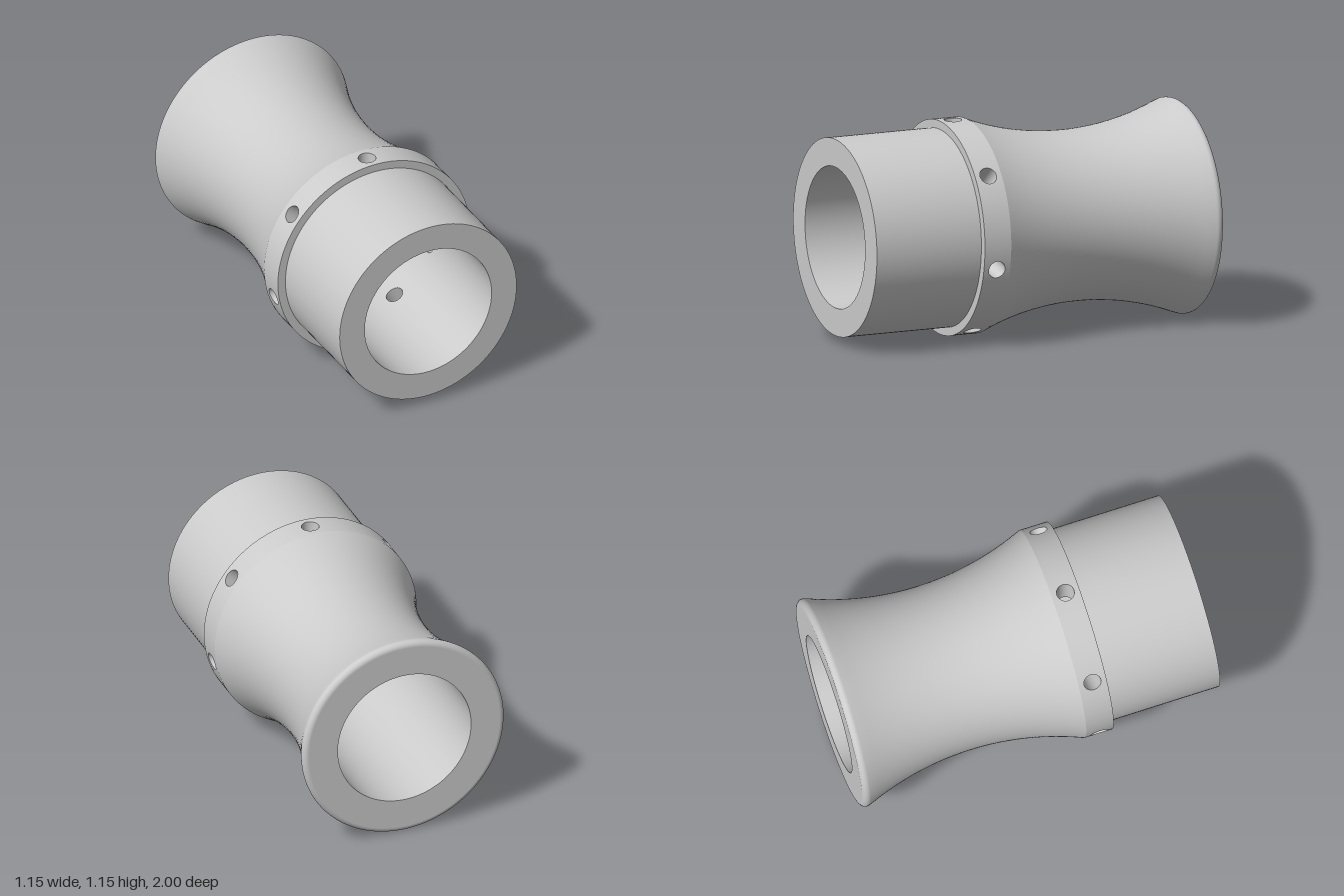
import * as THREE from 'three';

const AXIS_Y = 0.575;              // height of the tube axis
const BORE = 0.38, TUBE = 0.53, COLLAR = 0.575;
const Z_BACK = -1, Z_NECK = 0.24, Z_STEP = 0.393, Z_FRONT = 1;
const HOLES = 7, HOLE_R = 0.047;
const SEG = HOLES * 16;            // lathe steps line up with the drilled panels
const mat = new THREE.MeshStandardMaterial({ color: 0xcccccc });

function add(parent, name, geometry) {
  const mesh = new THREE.Mesh(geometry, mat);
  mesh.name = name;
  parent.add(mesh);
  return mesh;
}

// Revolve [radius, z] points about the z axis
function turned(points) {
  const g = new THREE.LatheGeometry(points.map(([r, z]) => new THREE.Vector2(r, z)), SEG);
  return g.rotateX(Math.PI / 2);
}

// Grid surface: fn(u, v) returns [position, normal]
function surface(nu, nv, fn) {
  const pos = [], nor = [], idx = [];
  for (let i = 0; i <= nu; i++) {
    for (let j = 0; j <= nv; j++) {
      const [p, n] = fn(i / nu, j / nv);
      pos.push(...p);
      nor.push(...n);
      if (i < nu && j < nv) {
        const a = i * (nv + 1) + j, b = a + nv + 1;
        idx.push(a, a + 1, b, b, a + 1, b + 1);
      }
    }
  }
  const g = new THREE.BufferGeometry();
  g.setAttribute('position', new THREE.Float32BufferAttribute(pos, 3));
  g.setAttribute('normal', new THREE.Float32BufferAttribute(nor, 3));
  g.setIndex(idx);
  return g;
}

// Point on a unit square, evenly spaced along each side
function square(t) {
  const c = Math.cos(t), s = Math.sin(t), k = 4 / Math.PI;
  return Math.abs(c) > Math.abs(s) + 1e-9
    ? [Math.sign(c), k * Math.atan(s / Math.abs(c))]
    : [k * Math.atan(c / Math.abs(s)), Math.sign(s)];
}

// Curved panel of radius R with a round hole; side is 1 facing out, -1 facing in
function drilledPanel(R, side) {
  const zMid = (Z_NECK + Z_STEP) / 2, halfZ = (Z_STEP - Z_NECK) / 2;
  return surface(8, 64, (u, v) => {
    const t = side * v * Math.PI * 2;
    const [sx, sz] = square(t);
    const a = THREE.MathUtils.lerp(Math.asin(HOLE_R * Math.cos(t) / R), sx * Math.PI / HOLES, u);
    const z = zMid + THREE.MathUtils.lerp(HOLE_R * Math.sin(t), sz * halfZ, u);
    const x = Math.sin(a), y = Math.cos(a);
    return [[R * x, R * y, z], [side * x, side * y, 0]];
  });
}

// Wall of one radial hole, from bore to collar
function holeWall() {
  const zMid = (Z_NECK + Z_STEP) / 2;
  return surface(1, 64, (u, v) => {
    const t = v * Math.PI * 2, c = Math.cos(t), s = Math.sin(t);
    const R = u ? COLLAR : BORE, x = HOLE_R * c;
    return [[x, Math.sqrt(R * R - x * x), zMid + HOLE_R * s], [-c, 0, -s]];
  });
}

export function createModel() {
  const model = new THREE.Group();
  model.name = 'flaredTubeFitting';
  const body = new THREE.Group();
  body.name = 'body';
  body.position.y = AXIS_Y;
  model.add(body);

  // Waisted grip: rounded rim, then a concave arc up to the collar
  const rim = 0.03, halfChord = 0.6, sag = 0.12;
  const arcR = (halfChord ** 2 + sag ** 2) / (2 * sag);
  const endAngle = Math.asin(halfChord / arcR);
  const grip = [];
  for (let i = 0; i <= 12; i++) {
    const a = THREE.MathUtils.lerp(-Math.PI / 2, endAngle, i / 12);
    grip.push([COLLAR - rim + rim * Math.cos(a), Z_BACK + rim + rim * Math.sin(a)]);
  }
  const zWaist = Z_NECK - halfChord;
  for (let i = 1; i <= 40; i++) {
    const a = THREE.MathUtils.lerp(-endAngle, endAngle, i / 40);
    grip.push([COLLAR - sag + arcR * (1 - Math.cos(a)), zWaist + arcR * Math.sin(a)]);
  }
  add(body, 'flaredGrip', turned(grip));

  // Flat ends, step and straight walls
  add(body, 'backFace', turned([[BORE, Z_BACK], [COLLAR - rim, Z_BACK]]));
  add(body, 'collarStep', turned([[COLLAR, Z_STEP], [TUBE, Z_STEP]]));
  add(body, 'frontTube', turned([[TUBE, Z_STEP], [TUBE, Z_FRONT]]));
  add(body, 'frontFace', turned([[TUBE, Z_FRONT], [BORE, Z_FRONT]]));
  add(body, 'frontBore', turned([[BORE, Z_FRONT], [BORE, Z_STEP]]));
  add(body, 'backBore', turned([[BORE, Z_NECK], [BORE, Z_BACK]]));

  // Collar ring with radial through holes
  const outer = drilledPanel(COLLAR, 1), inner = drilledPanel(BORE, -1), wall = holeWall();
  for (let k = 0; k < HOLES; k++) {
    const sector = new THREE.Group();
    sector.name = 'collarSector';
    sector.rotation.z = k * Math.PI * 2 / HOLES;
    add(sector, 'collarPanel', outer);
    add(sector, 'borePanel', inner);
    add(sector, 'radialHole', wall);
    body.add(sector);
  }
  return model;
}
